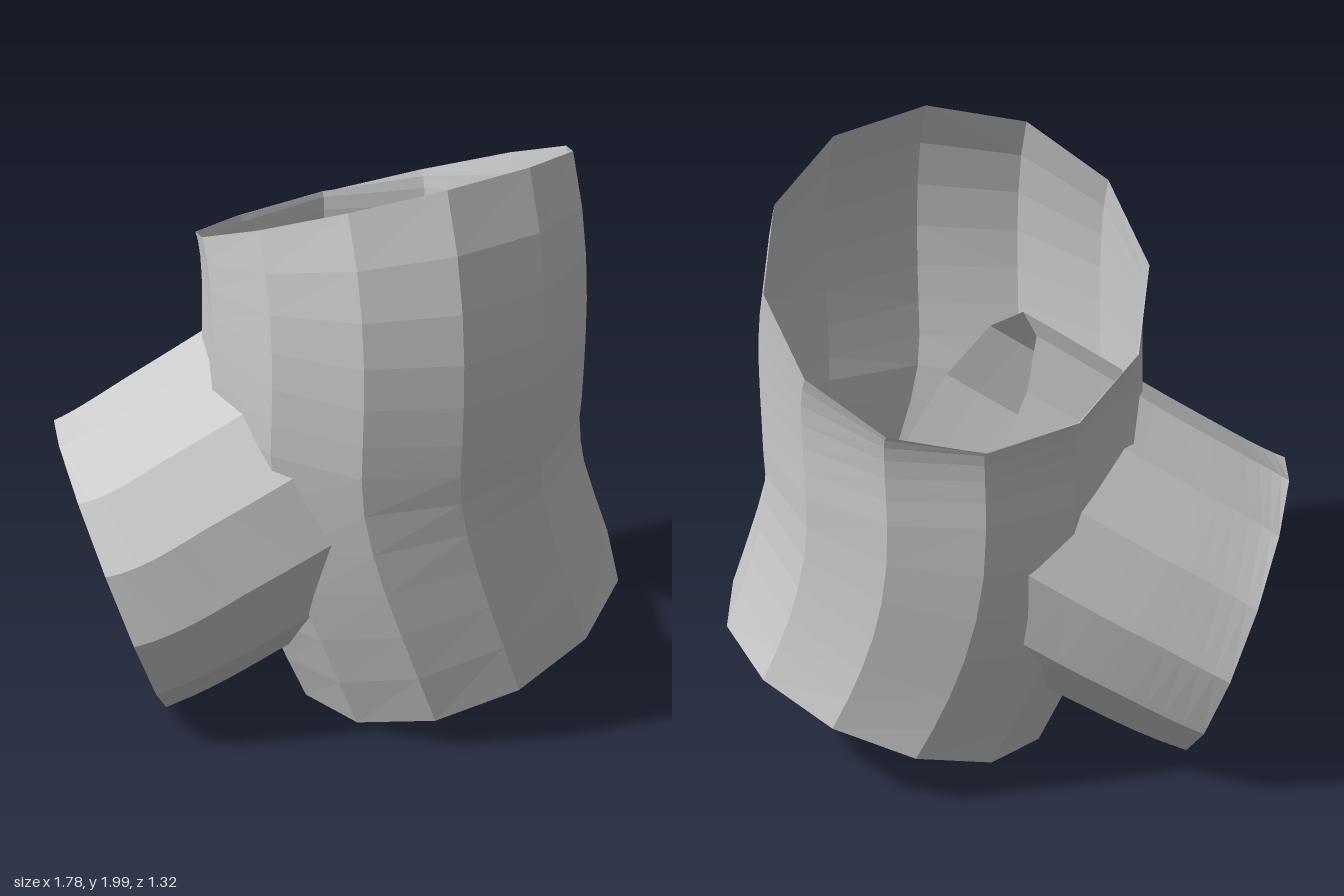
import * as THREE from 'three';

const SIDES = 12;
const STEPS = 6;

// Open twelve-sided tube swept through stations { at, dir, r };
// ref fixes where the first corner of every ring lies.
function sweptTube(stations, ref, material, name) {
  const positions = [];
  const index = [];
  let rings = 0;

  const addRing = (centre, normal, radius) => {
    const u = ref.clone().addScaledVector(normal, -ref.dot(normal)).normalize();
    const v = u.clone().cross(normal);
    for (let j = 0; j < SIDES; j++) {
      const a = (j / SIDES) * Math.PI * 2;
      const p = centre.clone()
        .addScaledVector(u, radius * Math.cos(a))
        .addScaledVector(v, radius * Math.sin(a));
      positions.push(p.x, p.y, p.z);
    }
    rings++;
  };

  // Each stretch between two stations is a Hermite (cubic Bezier) curve
  for (let s = 0; s < stations.length - 1; s++) {
    const [A, B] = [stations[s], stations[s + 1]];
    const p0 = new THREE.Vector3(...A.at);
    const p3 = new THREE.Vector3(...B.at);
    const third = p0.distanceTo(p3) / 3;
    const p1 = p0.clone().addScaledVector(new THREE.Vector3(...A.dir).normalize(), third);
    const p2 = p3.clone().addScaledVector(new THREE.Vector3(...B.dir).normalize(), -third);
    const curve = new THREE.CubicBezierCurve3(p0, p1, p2, p3);
    for (let i = s === 0 ? 0 : 1; i <= STEPS; i++) {
      const t = i / STEPS;
      addRing(curve.getPoint(t), curve.getTangent(t), THREE.MathUtils.lerp(A.r, B.r, t));
    }
  }

  for (let i = 0; i < rings - 1; i++) {
    for (let j = 0; j < SIDES; j++) {
      const a = i * SIDES + j;
      const b = i * SIDES + ((j + 1) % SIDES);
      index.push(a, a + SIDES, b, b, a + SIDES, b + SIDES);
    }
  }

  const indexed = new THREE.BufferGeometry();
  indexed.setAttribute('position', new THREE.Float32BufferAttribute(positions, 3));
  indexed.setIndex(index);
  const geometry = indexed.toNonIndexed();
  geometry.computeVertexNormals();
  const mesh = new THREE.Mesh(geometry, material);
  mesh.name = name;
  return mesh;
}

export function createModel() {
  const group = new THREE.Group();
  group.name = 'branchingTube';
  const grey = new THREE.MeshStandardMaterial({
    name: 'light grey', color: 0xcccccc, flatShading: true, side: THREE.DoubleSide,
  });

  // Main tube: leans in from the base, then bends back at the top
  group.add(sweptTube([
    { at: [0.38, 0.205, 0.065], dir: [-0.357, 0.934, 0], r: 0.545 },
    { at: [0.17, 1.08, 0.04], dir: [0, 1, 0.08], r: 0.607 },
    { at: [0.17, 1.715, -0.025], dir: [-0.06, 0.885, -0.46], r: 0.622 },
  ], new THREE.Vector3(1, 0, 0), grey, 'mainTube'));

  // Side branch: starts inside the main tube and runs down and outward
  group.add(sweptTube([
    { at: [0.18, 1.0, 0.03], dir: [-0.83, -0.54, -0.18], r: 0.507 },
    { at: [-0.37, 0.645, -0.11], dir: [-0.84, -0.51, -0.2], r: 0.495 },
    { at: [-0.695, 0.465, -0.185], dir: [-0.915, -0.345, -0.223], r: 0.487 },
  ], new THREE.Vector3(0, 0, -1), grey, 'sideBranch'));

  return group;
}
